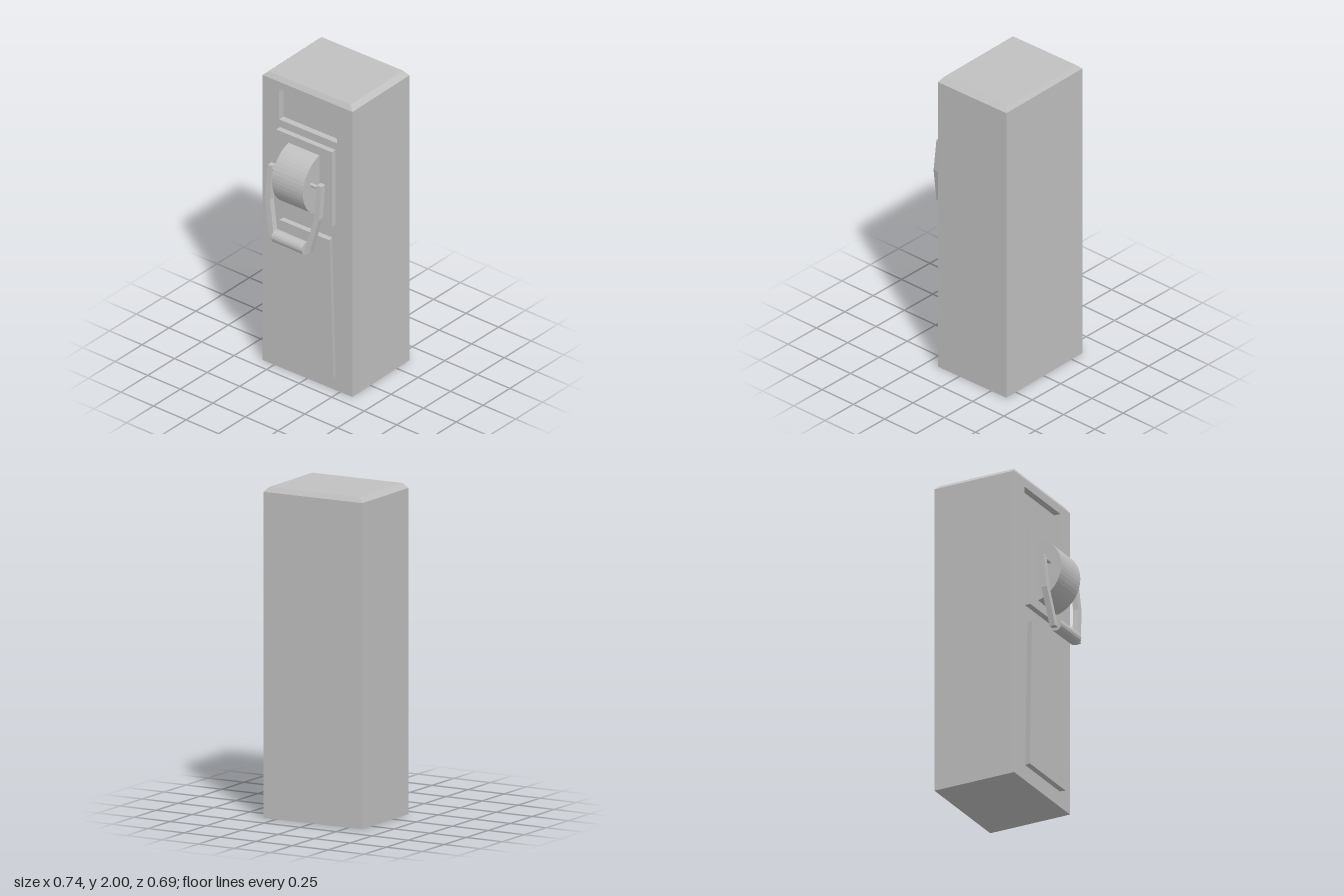
import * as THREE from 'three';

const grey = new THREE.MeshStandardMaterial({ color: 0xc0c0c0, flatShading: true });
grey.name = 'grey';

function add(parent, name, geometry, x = 0, y = 0, z = 0) {
  const mesh = new THREE.Mesh(geometry, grey);
  mesh.name = name;
  mesh.position.set(x, y, z);
  parent.add(mesh);
  return mesh;
}

// Moves each vertex of a geometry by a rule.
function reshape(geometry, rule) {
  const p = geometry.attributes.position;
  const v = new THREE.Vector3();
  for (let i = 0; i < p.count; i++) {
    v.fromBufferAttribute(p, i);
    rule(v);
    p.setXYZ(i, v.x, v.y, v.z);
  }
  geometry.computeVertexNormals();
  return geometry;
}

const points = (list) => list.map(([a, b]) => new THREE.Vector2(a, b));
const rect = (z0, z1, y0, y1) => points([[z0, y0], [z1, y0], [z1, y1], [z0, y1]]);

// Extrudes a (z, y) outline towards -x, starting at x = 0.
function extrudeSide(shape, depth) {
  return new THREE.ExtrudeGeometry(shape, { depth, bevelEnabled: false }).rotateY(-Math.PI / 2);
}

function createCabinet() {
  const cabinet = new THREE.Group();
  cabinet.name = 'cabinet';
  const W = 0.54, D = 0.682, H = 1.97, recess = 0.042;

  // Main block, with a holed slab on its working side for the recess
  add(cabinet, 'body', new THREE.BoxGeometry(W - recess, H, D), recess / 2, H / 2, 0);
  const slab = new THREE.Shape(rect(-D / 2, D / 2, 0, H));
  slab.holes.push(new THREE.Path(rect(-0.217, 0.224, 1.71, 1.917)));
  add(cabinet, 'recessedFace', extrudeSide(slab, recess), -W / 2 + recess, 0, 0);

  // Chamfered top
  const cap = reshape(new THREE.BoxGeometry(W, 0.03, D), (v) => {
    if (v.y > 0) {
      v.x -= Math.sign(v.x) * 0.02;
      v.z -= Math.sign(v.z) * 0.032;
    }
  });
  add(cabinet, 'topCap', cap, 0, H + 0.015, 0);

  // Raised panels; the lower one widens towards the foot and outwards
  add(cabinet, 'upperPanel', new THREE.BoxGeometry(0.036, 0.515, 0.422), -W / 2 - 0.018, 1.4025, 0.002);
  const lower = reshape(new THREE.BoxGeometry(0.036, 0.945, 1), (v) => {
    const half = (v.y > 0 ? 0.192 : 0.219) - (v.x > 0 ? 0.008 : 0);
    v.z = Math.sign(v.z) * half;
  });
  add(cabinet, 'lowerPanel', lower, -W / 2 - 0.018, 0.5725, 0.004);

  // Half-round drum
  const arc = new THREE.Shape();
  arc.absarc(0, 0, 0.205, Math.PI / 2, Math.PI * 1.5, false);
  const drum = new THREE.ExtrudeGeometry(arc, { depth: 0.234, bevelEnabled: false, curveSegments: 12 });
  add(cabinet, 'drum', drum, -0.258, 1.405, -0.115);

  cabinet.position.set(0.095, 0, -0.0015);
  cabinet.rotation.y = 0.0155;
  return cabinet;
}

function createHandle() {
  const handle = new THREE.Group();
  handle.name = 'handle';
  for (const s of [-1, 1]) {
    // Arm bent inwards below its middle and leaning outwards
    const outline = points([
      [0.17, 1.46], [0.206, 1.46], [0.206, 1.24], [0.153, 1.0], [0.116, 1.0], [0.17, 1.24],
    ].map(([z, y]) => [s * z, y]));
    const arm = reshape(extrudeSide(new THREE.Shape(outline), 0.037), (v) => {
      v.x += -0.2635 - (1.46 - v.y) * 0.107;
    });
    add(handle, 'arm', arm);

    // Pivot pin into the drum
    const pin = new THREE.CylinderGeometry(0.012, 0.012, 0.08, 12).rotateX(Math.PI / 2);
    add(handle, 'pivotPin', pin, -0.29, 1.44, s * 0.138);
  }
  const grip = new THREE.CylinderGeometry(0.04, 0.04, 0.234, 16).rotateX(Math.PI / 2);
  add(handle, 'grip', grip, -0.334, 1.02, 0);
  handle.position.z = 0.006;
  return handle;
}

export function createModel() {
  const model = new THREE.Group();
  model.name = 'cabinetWithHandle';
  model.add(createCabinet(), createHandle());
  return model;
}
